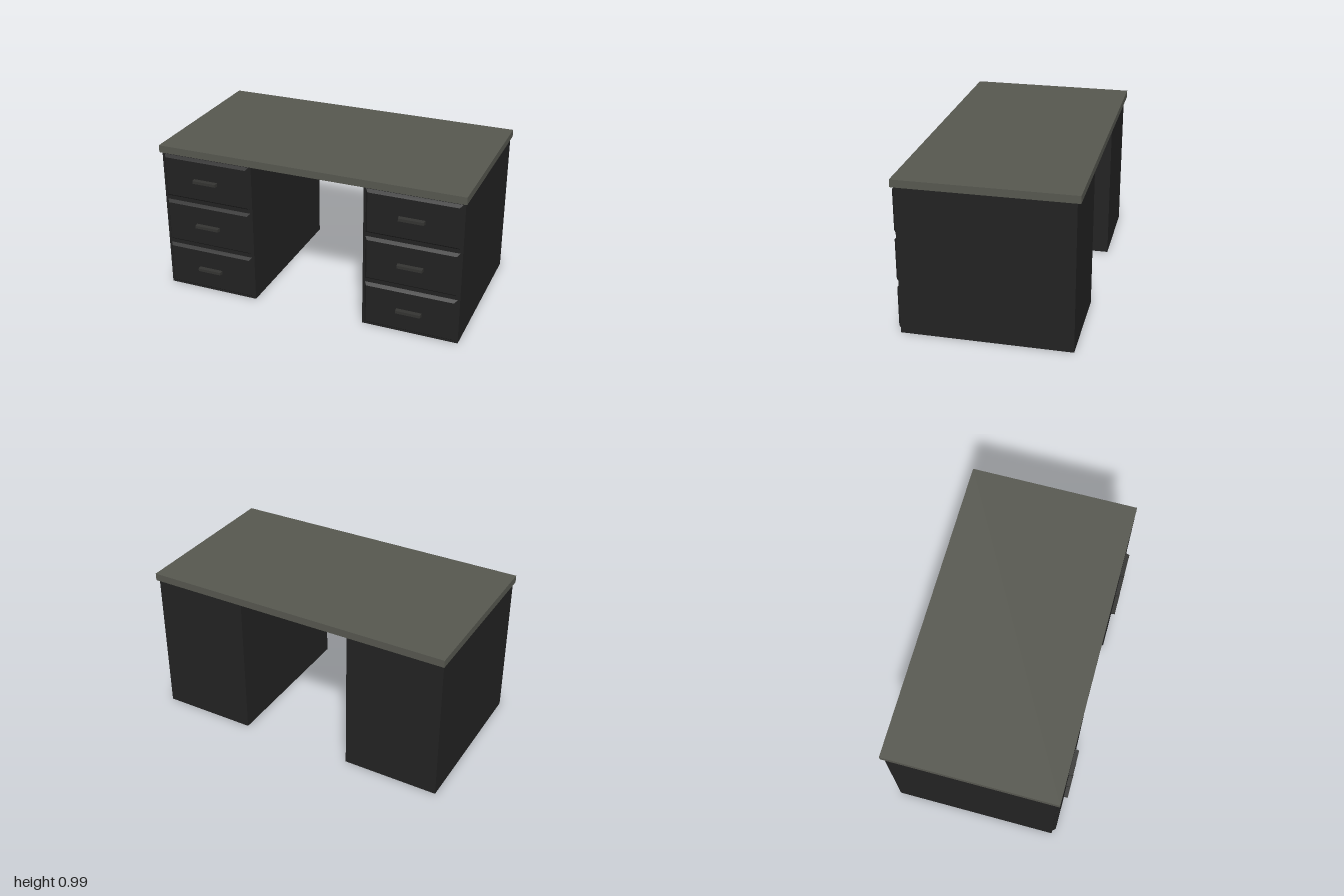
import * as THREE from 'three';

const material = (name, color) => {
  const m = new THREE.MeshStandardMaterial({ color });
  m.name = name;
  return m;
};

// Box given by its limits; the front face can be inset to form a bevelled panel
function block(name, mat, [x0, x1], [y0, y1], [z0, z1], inset = 0) {
  const w = x1 - x0, h = y1 - y0, d = z1 - z0;
  let geo = new THREE.BoxGeometry(w, h, d);
  if (inset) {
    const p = geo.attributes.position;
    for (let i = 0; i < p.count; i++) {
      if (p.getZ(i) > 0) {
        p.setX(i, p.getX(i) - Math.sign(p.getX(i)) * inset);
        p.setY(i, p.getY(i) - Math.sign(p.getY(i)) * inset);
      }
    }
    geo = geo.toNonIndexed();
    geo.computeVertexNormals();
  }
  const mesh = new THREE.Mesh(geo, mat);
  mesh.name = name;
  mesh.position.set((x0 + x1) / 2, (y0 + y1) / 2, (z0 + z1) / 2);
  return mesh;
}

// Drawer pedestal, centred on its own x axis
function createPedestal(name, body, grip) {
  const g = new THREE.Group();
  g.name = name;
  g.add(block('cabinet', body, [-0.31, 0.31], [0, 0.945], [-0.54, 0.515]));
  for (let i = 0; i < 3; i++) {
    const y = 0.015 + i * 0.315;
    const drawer = new THREE.Group();
    drawer.name = 'drawer' + (i + 1);
    // Raised front and pull handle
    drawer.add(
      block('drawerFront', body, [-0.295, 0.295], [y, y + 0.288], [0.515, 0.535], 0.016),
      block('handle', grip, [-0.082, 0.082], [y + 0.131, y + 0.155], [0.535, 0.561], 0.003)
    );
    g.add(drawer);
  }
  return g;
}

export function createModel() {
  const body = material('charcoal', 0x222222);
  const grip = material('handle grey', 0x333331);
  const top = material('worktop grey', 0x56574f);

  const desk = new THREE.Group();
  desk.name = 'desk';
  desk.add(block('desktop', top, [-1, 1], [0.945, 0.992], [-0.561, 0.535]));

  // Matching pedestals at both ends
  for (const [name, side] of [['leftPedestal', 1], ['rightPedestal', -1]]) {
    const pedestal = createPedestal(name, body, grip);
    pedestal.position.x = side * 0.68;
    desk.add(pedestal);
  }
  return desk;
}
